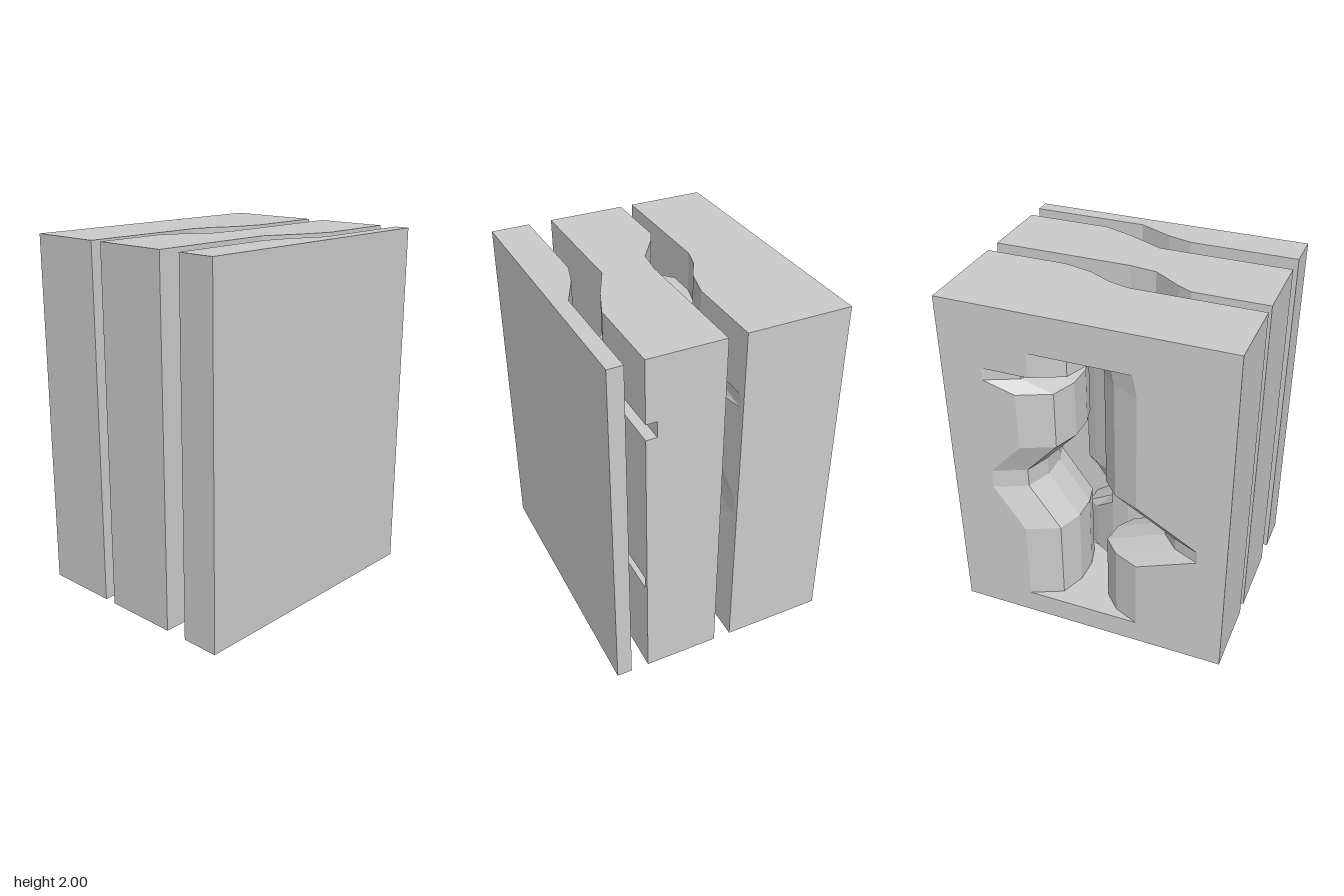
import * as THREE from 'three';

const material = new THREE.MeshStandardMaterial({ color: 0xcccccc, flatShading: true });

// Solid lofted upward through [y, plan] levels; every plan lists the same number of [x, z] points
function loft(name, levels) {
  const toV = (plan) => plan.map(([x, z]) => new THREE.Vector2(x, -z));
  const flip = THREE.ShapeUtils.area(toV(levels[0][1])) < 0;
  const rings = levels.map(([y, plan]) => ({ y, v: flip ? toV(plan).reverse() : toV(plan) }));
  const pos = [];
  const put = (ring, i) => pos.push(ring.v[i].x, ring.y, -ring.v[i].y);
  for (let k = 0; k + 1 < rings.length; k++) {
    const lo = rings[k], hi = rings[k + 1], n = lo.v.length;
    for (let i = 0; i < n; i++) {
      const j = (i + 1) % n;
      put(lo, i); put(lo, j); put(hi, j);
      put(lo, i); put(hi, j); put(hi, i);
    }
  }
  const first = rings[0], last = rings[rings.length - 1];
  for (const [a, b, c] of THREE.ShapeUtils.triangulateShape(last.v, [])) {
    put(last, a); put(last, b); put(last, c);
  }
  for (const [a, b, c] of THREE.ShapeUtils.triangulateShape(first.v, [])) {
    put(first, a); put(first, c); put(first, b);
  }
  const g = new THREE.BufferGeometry();
  g.setAttribute('position', new THREE.Float32BufferAttribute(pos, 3));
  g.computeVertexNormals();
  const mesh = new THREE.Mesh(g, material);
  mesh.name = name;
  return mesh;
}

const prism = (name, y0, y1, plan) => loft(name, [[y0, plan], [y1, plan]]);

// Rear slab: solid ends, and two cheeks whose rounded walls bound the branching slot
function rearSlab() {
  const group = new THREE.Group();
  group.name = 'rearSlab';
  const plan = [[-0.785, -0.64], [0.785, -0.64], [0.785, -0.07], [0.33, -0.07], [0.17, -0.11],
    [0.04, -0.18], [-0.07, -0.21], [-0.785, -0.21]];
  group.add(prism('rearSlabBottom', 0, 0.14, plan), prism('rearSlabTop', 1.78, 2, plan));

  // o shifts the wall sideways to open a branch
  const leftCheek = (o) => [[0.785, -0.64], [0.785, -0.07], [0.5 + 1.4 * o, -0.07], [0.3 + o, -0.1],
    [0.17 + o, -0.17], [0.14 + o, -0.28], [0.142 + o, -0.42], [0.195 + o, -0.56], [0.372 + o, -0.64]];
  const rightCheek = (o) => [[-0.785, -0.64], [-0.284 + o, -0.64], [-0.143 + o, -0.58],
    [-0.054 + o, -0.486], [-0.07 + o, -0.365], [-0.13 + o, -0.27], [-0.28 + o, -0.21], [-0.785, -0.21]];
  const leftSteps = [[0.14, 0], [0.63, 0], [0.88, 0.18], [0.99, 0.18], [1.19, 0], [1.52, 0],
    [1.57, 0.18], [1.64, 0.18], [1.641, -0.08], [1.78, -0.08]];
  const rightSteps = [[0.14, 0], [0.57, 0], [0.715, -0.34], [0.785, -0.34], [0.98, 0], [1.66, 0], [1.78, 0.02]];
  group.add(
    loft('leftCheek', leftSteps.map(([y, o]) => [y, leftCheek(o)])),
    loft('rightCheek', rightSteps.map(([y, o]) => [y, rightCheek(o)])));
  return group;
}

// Middle slab: stacked layers, some with grooves in the front or back face, plus a tongue
function middleSlab() {
  const group = new THREE.Group();
  group.name = 'middleSlab';
  const back = [[-0.785, -0.14], [-0.38, -0.14], [-0.3, -0.1], [-0.14, 0.01], [0.01, 0.03], [0.785, 0.03]];
  const pocketBack = [[-0.785, -0.14], [-0.76, -0.14], [-0.7, -0.1], [-0.3, -0.1], [-0.14, 0.01],
    [0.01, 0.03], [0.785, 0.03]];
  const plain = [[0.785, 0.45], [0.31, 0.45], [0.14, 0.385]];
  const bump = [[0.785, 0.45], [0.19, 0.45], [0.14, 0.385]];
  const pocket = [[0.785, 0.45], [0.76, 0.45], [0.72, 0.39], [0.14, 0.385]];
  const groove = [[0.785, 0.39], [0.14, 0.385]];
  const tail = [[-0.06, 0.29], [-0.785, 0.29]];
  const layers = [
    [0, 0.14, back, plain], [0.14, 0.58, back, bump], [0.58, 0.65, back, pocket],
    [0.65, 1.56, back, bump], [1.56, 1.65, back, groove], [1.65, 1.77, pocketBack, bump],
    [1.77, 2, back, plain],
  ];
  for (const [y0, y1, b, f] of layers) group.add(prism('middleLayer', y0, y1, [...b, ...f, ...tail]));

  // Tongue bridging the gap, notched on its left side
  const tongue = (edge) => [[-0.31, -0.14], [-0.23, -0.21], [-0.07, -0.21], [0.04, -0.18], [0.17, -0.11],
    [0.23, -0.07], [0.23, 0.04], [0, 0.04], [-0.14, 0.02], [-0.3, -0.09]]
    .map(([x, z]) => [Math.min(x, edge + 0.02 * x), z]);
  const steps = [[0.145, 0.23], [0.45, 0.23], [0.57, 0.06], [0.63, 0.06], [0.79, 0.23], [1.785, 0.23]];
  group.add(loft('tongue', steps.map(([y, e]) => [y, tongue(e)])));
  return group;
}

export function createModel() {
  const model = new THREE.Group();
  model.name = 'layeredBlock';
  model.add(rearSlab(), middleSlab());
  // Front slab
  model.add(prism('frontSlab', 0, 2, [[-0.785, 0.42], [-0.19, 0.42], [-0.05, 0.46], [0.14, 0.55],
    [0.785, 0.55], [0.785, 0.635], [-0.785, 0.635]]));
  return model;
}
